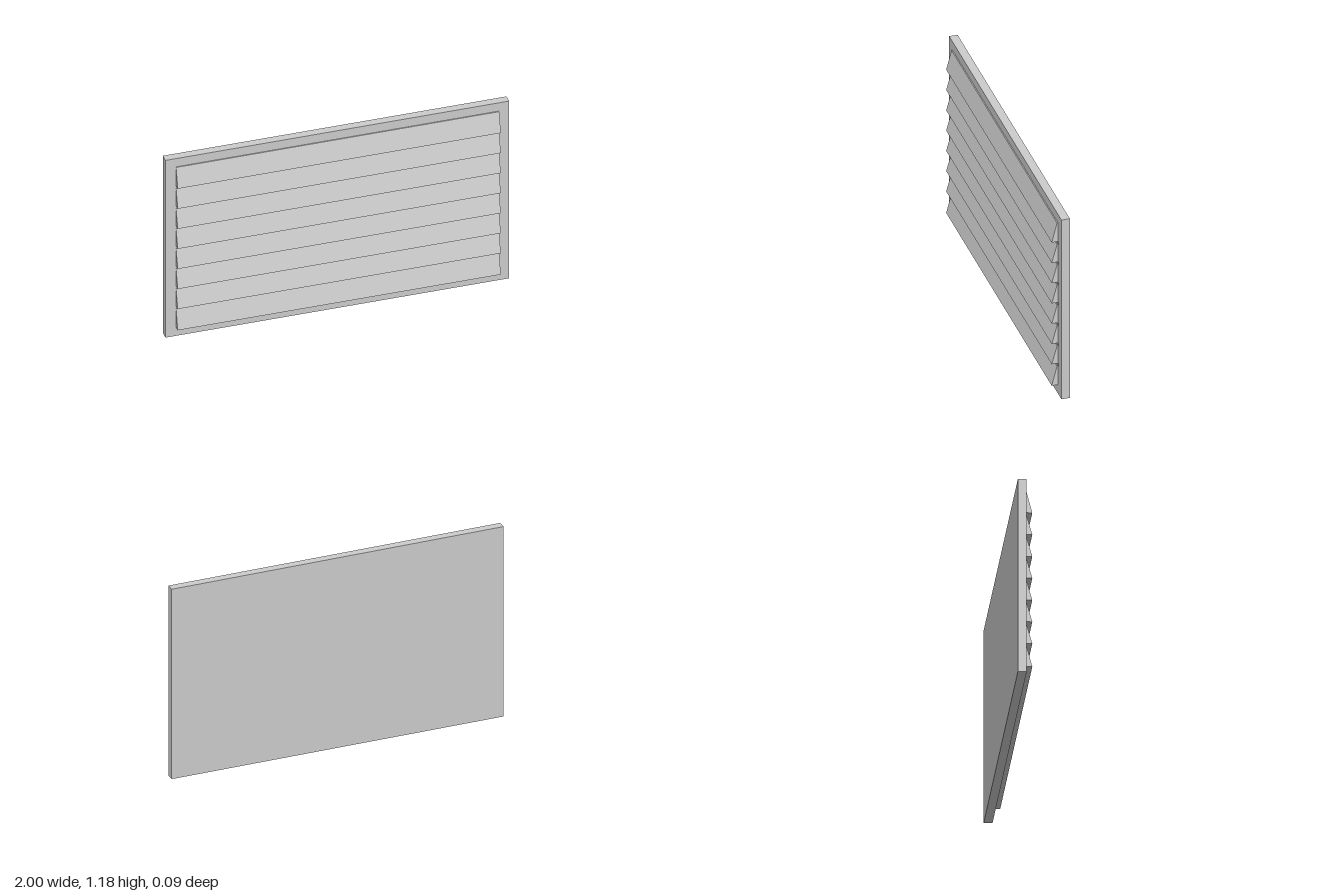
import * as THREE from 'three';

const material = new THREE.MeshStandardMaterial({ color: 0xcccccc, flatShading: true });

function box(name, w, h, d, x, y, z) {
  const mesh = new THREE.Mesh(new THREE.BoxGeometry(w, h, d), material);
  mesh.name = name;
  mesh.position.set(x, y, z);
  return mesh;
}

// Wedge-shaped louvre blade: profile in (z, y), extruded along x
function blade(bottom, top, width) {
  const back = 0, face = 0.012, lip = 0.043;
  const profile = new THREE.Shape([
    new THREE.Vector2(-back, bottom),
    new THREE.Vector2(-back, top),
    new THREE.Vector2(-face, top),
    new THREE.Vector2(-lip, bottom),
  ]);
  const geometry = new THREE.ExtrudeGeometry(profile, { depth: width, bevelEnabled: false });
  geometry.translate(0, 0, -width / 2);
  geometry.rotateY(Math.PI / 2); // profile -x becomes +z
  const mesh = new THREE.Mesh(geometry, material);
  mesh.name = 'louvreBlade';
  return mesh;
}

export function createModel() {
  const group = new THREE.Group();
  group.name = 'louvrePanel';

  const height = 1.18, front = 0.006, rear = -0.043;
  const count = 8, pitch = 0.1335, low = 0.06, high = 1.125, gap = 0.02;

  // Solid backing panel with its border
  group.add(box('backPanel', 2, height, front - rear, 0, height / 2, (front + rear) / 2));

  for (let i = 0; i < count; i++) {
    const bottom = i === 0 ? low : 0.068 + i * pitch;
    const top = i === count - 1 ? high : 0.182 + i * pitch;
    group.add(blade(bottom, top, 1.88));

    // Thin crossbar showing in the gap above each blade
    if (i < count - 1) group.add(box('crossbar', 1.89, gap, 0.01, 0, top + gap / 2, front - 0.004));
  }
  return group;
}
